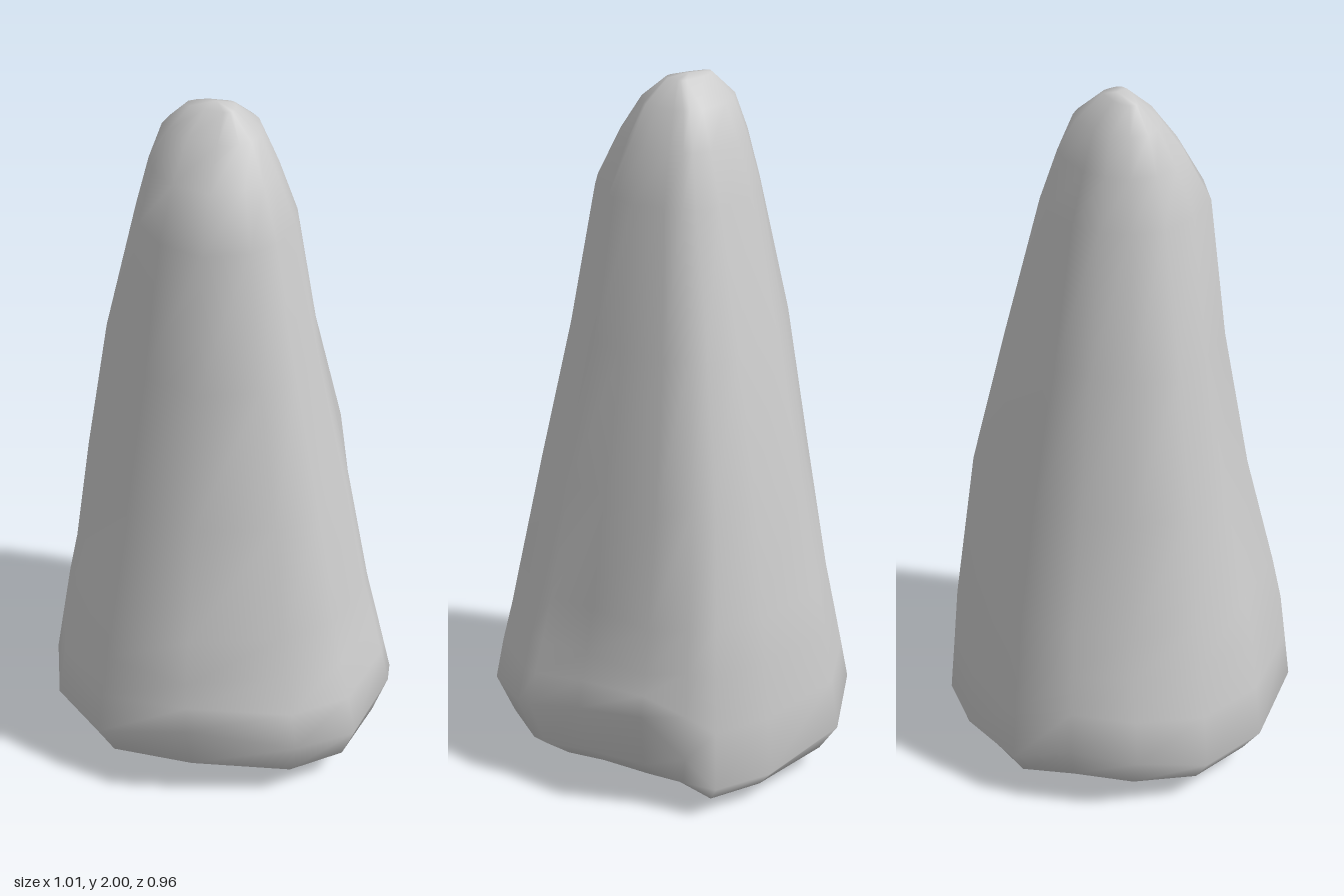
import * as THREE from 'three';

// Plan outline of the widest part, normalised to -1..1, and the height of the foot's rim there
const outline = [
  [-0.04, -1, 0.095], [0.31, -0.99, 0.10], [0.42, -0.84, 0.18], [0.61, -0.70, 0.32],
  [0.81, -0.33, 0.28], [0.98, -0.06, 0.25], [1, 0.05, 0.24], [0.92, 0.49, 0.20],
  [0.66, 0.78, 0.22], [0.08, 1, 0.29], [-0.47, 0.91, 0.18], [-0.84, 0.55, 0.14],
  [-1, 0.14, 0.14], [-0.97, -0.29, 0.19], [-0.79, -0.63, 0.21], [-0.55, -0.90, 0.14],
];

// Underside: share of the rim's width and of its height
const foot = [[0.38, 0.05], [0.73, 0.22], [0.90, 0.45], [1, 1]];
const rim = [0.508, 0.505, 0.478, 0.48];

// Cross-sections above the rim: height, then extent towards -x, +x, -z, +z
const rings = [
  [0.44, 0.46, 0.458, 0.447, 0.455],
  [0.57, 0.435, 0.425, 0.43, 0.43],
  [0.90, 0.395, 0.36, 0.39, 0.36],
  [1.30, 0.335, 0.27, 0.305, 0.30],
  [1.69, 0.24, 0.20, 0.21, 0.245],
  [1.83, 0.205, 0.145, 0.165, 0.165],
  [1.93, 0.17, 0.095, 0.125, 0.09],
  [1.99, 0.11, 0.025, 0.05, 0.02],
];

// Swellings (+) and hollows (-): direction in plan, height, size, reach in angle and height
const bumps = [
  { angle: -0.85, y: 0.85, size: 0.12, arc: 0.36, reach: 0.55 },
  { angle: 0.85, y: 0.46, size: -0.07, arc: 0.30, reach: 0.09 },
  { angle: -2.40, y: 1.10, size: -0.11, arc: 0.45, reach: 0.36 },
  { angle: 2.35, y: 1.22, size: -0.13, arc: 0.45, reach: 0.40 },
];

function pointAt(y, [left, right, back, front], [u, v]) {
  // The section grows rounder towards the tip
  const len = Math.hypot(u, v);
  const round = 0.8 * (y / 2) ** 2;
  const a = THREE.MathUtils.lerp(u, u / len, round);
  const b = THREE.MathUtils.lerp(v, v / len, round);
  const angle = Math.atan2(v, u);
  let k = 1;
  for (const m of bumps) {
    k += m.size * Math.exp(-(((angle - m.angle) / m.arc) ** 2) - ((y - m.y) / m.reach) ** 2);
  }
  return [a * (a > 0 ? right : left) * k, y, b * (b > 0 ? front : back) * k];
}

function spireGeometry() {
  const n = outline.length;
  const pos = [];
  const index = [];
  // Foot, following the uneven rim
  for (const [s, t] of foot) {
    for (const p of outline) {
      const [x, , z] = pointAt(p[2], rim, p);
      pos.push(x * s + 0.05 * (1 - s), p[2] * t, z * s - 0.04 * (1 - s));
    }
  }
  // Half-way course between the rim and the first level section
  const [y0, ...first] = rings[0];
  const between = rim.map((r, i) => (r + first[i]) / 2);
  for (const p of outline) pos.push(...pointAt((p[2] + y0) / 2, between, p));
  // Shaft
  for (const [y, ...extents] of rings) {
    for (const p of outline) pos.push(...pointAt(y, extents, p));
  }
  const rows = pos.length / 3 / n;
  const base = rows * n;
  const tip = base + 1;
  pos.push(0.07, 0, -0.05, -0.03, 2, -0.02);

  // Walls between neighbouring sections
  for (let j = 0; j < rows - 1; j++) {
    for (let i = 0; i < n; i++) {
      const a = j * n + i, b = j * n + (i + 1) % n;
      index.push(a, a + n, b, b, a + n, b + n);
    }
  }
  // Underside and tip
  const last = (rows - 1) * n;
  for (let i = 0; i < n; i++) {
    const k = (i + 1) % n;
    index.push(base, i, k, tip, last + k, last + i);
  }
  const g = new THREE.BufferGeometry();
  g.setAttribute('position', new THREE.Float32BufferAttribute(pos, 3));
  g.setIndex(index);
  g.computeVertexNormals();
  return g;
}

export function createModel() {
  const model = new THREE.Group();
  model.name = 'rockSpire';
  const rock = new THREE.Mesh(
    spireGeometry(),
    new THREE.MeshStandardMaterial({ color: 0xcccccc }),
  );
  rock.name = 'rock';
  model.add(rock);
  return model;
}
